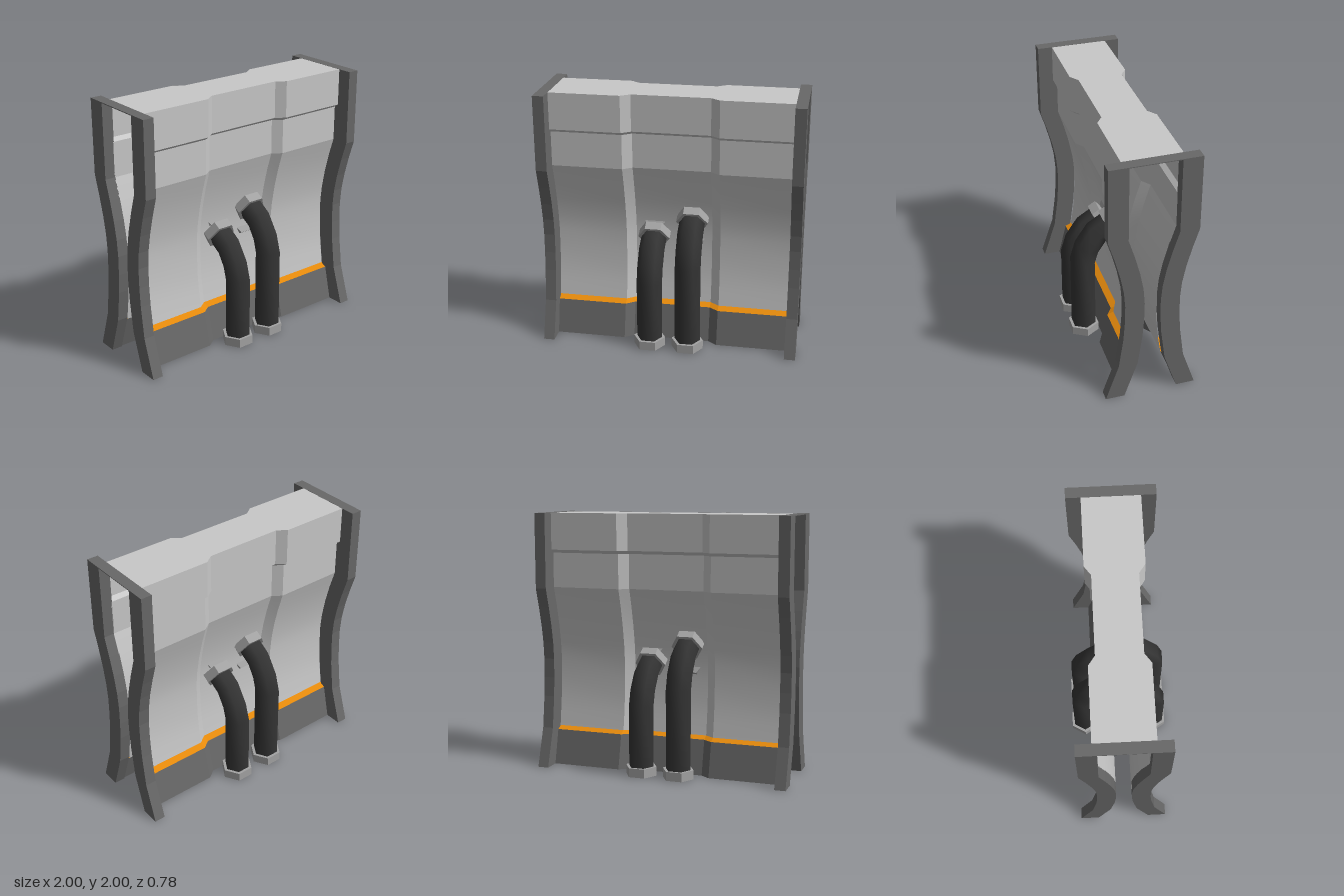
import * as THREE from 'three';
import { mergeVertices, toCreasedNormals } from 'three/addons/utils/BufferGeometryUtils.js';

const mat = (name, color, side = THREE.FrontSide) => {
  const m = new THREE.MeshStandardMaterial({ color, side });
  m.name = name;
  return m;
};

// Surface through a list of cross-sections (each a list of Vector3)
function loft(rows) {
  const n = rows[0].length, index = [];
  for (let i = 0; i < rows.length - 1; i++) {
    for (let j = 0; j < n - 1; j++) {
      const a = i * n + j, b = a + 1, d = a + n, c = d + 1;
      index.push(a, d, c, a, c, b);
    }
  }
  const g = new THREE.BufferGeometry().setFromPoints(rows.flat());
  g.setIndex(index);
  const merged = mergeVertices(g);
  merged.computeVertexNormals();
  return merged;
}

// Plan of the wall: x and outward offset; the middle is recessed
const PLAN = [[-0.92, 0.05], [-0.37, 0.05], [-0.3, 0], [0.3, 0], [0.37, 0.05], [0.92, 0.05]];
// Height and depth of the recessed middle
const PANEL = [[2, 0.168], [1.715, 0.168], [1.69, 0.135], [1.42, 0.135], [1.27, 0.088], [1.12, 0.05],
  [0.97, 0.022], [0.85, 0.01], [0.7, 0.01], [0.55, 0.015], [0.42, 0.03], [0.29, 0.05]];
const LEDGE = [[0.29, 0.05], [0.268, 0.1]];
const SKIRT = [[0.268, 0.1], [0, 0.165]];
// Height and depth of the outer edge of a post
const POST = [[2, 0.33], [1.42, 0.33], [1.27, 0.283], [1.12, 0.243], [0.98, 0.216], [0.85, 0.205],
  [0.7, 0.207], [0.55, 0.217], [0.3, 0.25], [0, 0.35]];
// Height and depth of the centre line of the tall pipe
const PIPE = [[0, 0.285], [0.68, 0.285], [0.8, 0.25], [0.92, 0.17], [1.0, 0.04]];

export function createModel() {
  const panelMat = mat('light metal', 0xc8c8c8, THREE.DoubleSide);
  const frameMat = mat('dark metal', 0x686868, THREE.DoubleSide);
  const orangeMat = mat('orange trim', 0xe58a0c, THREE.DoubleSide);
  const pipeMat = mat('black rubber', 0x343434);
  const nutMat = mat('nut metal', 0xa2a2a2);

  const add = (parent, name, geometry, material) => {
    const m = new THREE.Mesh(geometry, material);
    m.name = name;
    parent.add(m);
    return m;
  };

  const wallStrip = (profile) => toCreasedNormals(
    loft(profile.map(([y, z]) => PLAN.map(([x, o]) => new THREE.Vector3(x, y, z + o)))), 0.22);

  // Curved post, drawn from the side and extruded across x
  const outline = [...POST.map(([y, z]) => new THREE.Vector2(z, y)),
    ...POST.map(([y, z]) => new THREE.Vector2(z - 0.145, y)).reverse()];
  const postGeo = new THREE.ExtrudeGeometry(new THREE.Shape(outline), { depth: 0.085, bevelEnabled: false });
  postGeo.rotateY(-Math.PI / 2);

  // Six-sided nut with corners to the left and right
  const nutGeo = new THREE.CylinderGeometry(0.124, 0.124, 0.07, 6, 1, false, Math.PI / 6).toNonIndexed();
  nutGeo.computeVertexNormals();

  // Six-sided bent pipe with a nut at each end
  function hose(drop) {
    const g = new THREE.Group();
    g.name = 'hose';
    const pts = PIPE.map(([y, z], i) => new THREE.Vector3(0, i ? y - drop : y, z));
    const rings = pts.map((p, i) => {
      const t = pts[Math.min(i + 1, pts.length - 1)].clone().sub(pts[Math.max(i - 1, 0)]).normalize();
      // The straight run stays upright up to the bend
      if (i === 1) t.set(0, 0.985, -0.17);
      return Array.from({ length: 7 }, (_, k) => {
        const a = (k % 6) * Math.PI / 3, s = Math.sin(a) * 0.1;
        return new THREE.Vector3(Math.cos(a) * 0.1, p.y - t.z * s, p.z + t.y * s);
      });
    });
    add(g, 'pipe', loft(rings), pipeMat);
    const end = add(g, 'pipeEnd', new THREE.CircleGeometry(0.1, 6), pipeMat);
    end.rotation.x = Math.PI / 2;
    end.position.set(0, 0, 0.285);
    add(g, 'lowerNut', nutGeo, nutMat).position.set(0, 0.037, 0.285);
    const upper = add(g, 'upperNut', nutGeo, nutMat);
    upper.position.set(0, 0.995 - drop, 0.05);
    upper.rotation.x = -1.02;
    return g;
  }

  // One face of the wall with its posts and hoses
  function wallHalf(name) {
    const half = new THREE.Group();
    half.name = name;
    add(half, 'panel', wallStrip(PANEL), panelMat);
    add(half, 'trimLedge', wallStrip(LEDGE), orangeMat);
    add(half, 'skirt', wallStrip(SKIRT), frameMat);
    add(half, 'leftPost', postGeo, frameMat).position.x = 1;
    add(half, 'rightPost', postGeo, frameMat).position.x = -0.915;
    for (const [x, drop] of [[-0.15, 0.145], [0.15, 0]]) {
      const h = hose(drop);
      h.position.x = x;
      half.add(h);
    }
    return half;
  }

  const model = new THREE.Group();
  model.name = 'wallSection';
  const back = wallHalf('backHalf');
  back.rotation.y = Math.PI;
  model.add(wallHalf('frontHalf'), back);

  // Thin lid closing the top between the two panels
  const lidEdge = PLAN.map(([x, o]) => new THREE.Vector2(x, 0.168 + o));
  const lidShape = new THREE.Shape([...lidEdge, ...lidEdge.map((p) => new THREE.Vector2(p.x, -p.y)).reverse()]);
  const lidGeo = new THREE.ShapeGeometry(lidShape);
  lidGeo.rotateX(-Math.PI / 2);
  add(model, 'topLid', lidGeo, panelMat).position.y = 1.999;

  // Thin plates joining the tops of the posts
  for (const s of [-1, 1]) {
    add(model, 'postBridge', new THREE.BoxGeometry(0.085, 0.006, 0.4), frameMat).position.set(s * 0.9575, 1.997, 0);
  }
  return model;
}
